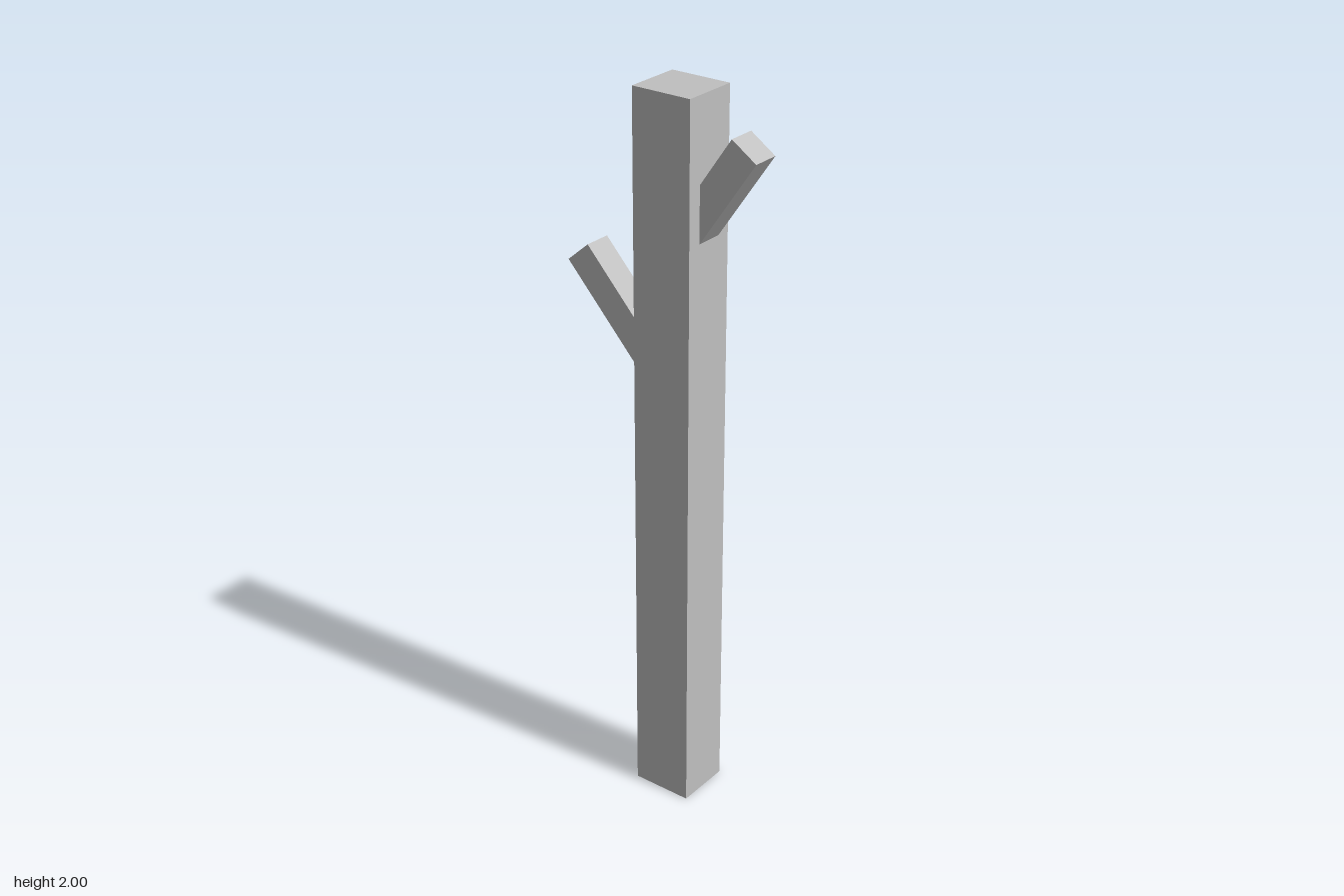
import * as THREE from 'three';

const bark = new THREE.MeshStandardMaterial({ color: 0xc0c0c0, side: THREE.DoubleSide });
bark.name = 'pale grey';

// Square trunk, hollow and open underneath
function makeTrunk() {
  const geometry = new THREE.BoxGeometry(0.17, 2, 0.156);
  const index = Array.from(geometry.index.array);
  index.splice(18, 6); // drop the bottom face
  geometry.setIndex(index);
  geometry.clearGroups();
  geometry.translate(0.04, 1, 0);
  const mesh = new THREE.Mesh(geometry, bark);
  mesh.name = 'trunk';
  return mesh;
}

// Straight branch with a square-cut tip, drawn as a side outline
function makeBranch(name, outline) {
  const shape = new THREE.Shape(outline.map(([x, y]) => new THREE.Vector2(x, y)));
  const geometry = new THREE.ExtrudeGeometry(shape, { depth: 0.077, bevelEnabled: false });
  geometry.translate(0, 0, -0.0395);
  const mesh = new THREE.Mesh(geometry, bark);
  mesh.name = name;
  return mesh;
}

export function createModel() {
  const model = new THREE.Group();
  model.name = 'bareTree';
  // Branch bases sink slightly into the trunk wall
  model.add(
    makeTrunk(),
    makeBranch('upperLeftBranch', [[0.12, 1.623], [0.285, 1.865], [0.215, 1.912], [0.12, 1.773]]),
    makeBranch('lowerRightBranch', [[-0.04, 1.22], [-0.04, 1.345], [-0.223, 1.545], [-0.287, 1.49]])
  );
  return model;
}
